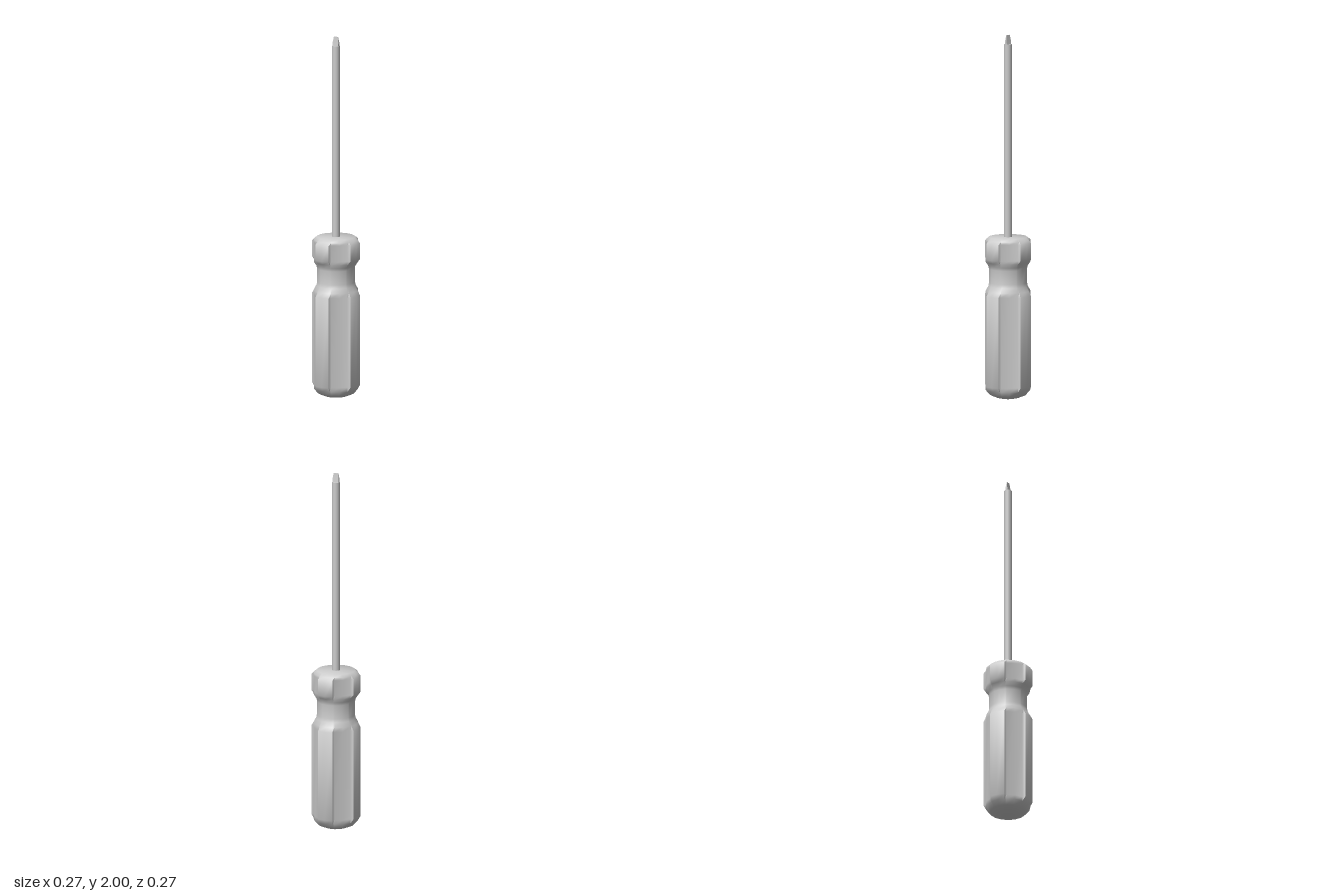
import * as THREE from 'three';
import { toCreasedNormals } from 'three/addons/utils/BufferGeometryUtils.js';

// Skin closed rings of [x, y, z] (bottom to top, same point count) and cap both ends.
function loft(rings, crease) {
  const n = rings[0].length, pos = [], index = [];
  rings.forEach(ring => ring.forEach(p => pos.push(...p)));
  for (let r = 0; r < rings.length - 1; r++) {
    for (let i = 0; i < n; i++) {
      const a = r * n + i, b = r * n + (i + 1) % n;
      index.push(a, a + n, b, b, a + n, b + n);
    }
  }
  const last = rings.length - 1, c = rings.length * n;
  pos.push(0, rings[0][0][1], 0, 0, rings[last][0][1], 0);
  for (let i = 0; i < n; i++) {
    const j = (i + 1) % n;
    index.push(c, i, j, c + 1, last * n + j, last * n + i);
  }
  const g = new THREE.BufferGeometry();
  g.setAttribute('position', new THREE.Float32BufferAttribute(pos, 3));
  g.setIndex(index);
  return toCreasedNormals(g, crease);
}

export function createModel() {
  const group = new THREE.Group();
  const material = new THREE.MeshStandardMaterial({ color: 0xcccccc });
  const add = (name, geometry) => {
    const mesh = new THREE.Mesh(geometry, material);
    mesh.name = name;
    group.add(mesh);
  };

  // Handle: four raised ribs with broad grooves between, fading into a round neck
  const groove = 0.122;
  const section = [[0, false], [18.6, false], [22.8, true], [45, true], [67.2, true], [71.4, false]];
  const profile = [
    [0.03, 0], [0.06, 0.006], [0.1, 0.022], [groove, 0.048], [0.136, 0.072],
    [0.136, 0.57], [groove, 0.595], [0.108, 0.62], [0.104, 0.64], [0.104, 0.715],
    [0.108, 0.732], [groove, 0.753], [0.136, 0.772], [0.136, 0.862], [groove, 0.876], [0.105, 0.89],
  ];
  const handleRings = profile.map(([radius, y]) => {
    const ring = [];
    for (let q = 0; q < 4; q++) {
      for (const [deg, inGroove] of section) {
        const a = THREE.MathUtils.degToRad(deg + q * 90);
        const r = inGroove ? Math.min(radius, groove) : radius;
        ring.push([r * Math.cos(a), y, r * Math.sin(a)]);
      }
    }
    return ring;
  });
  add('handle', loft(handleRings, 0.95));

  // Shaft
  const shaft = new THREE.CylinderGeometry(0.021, 0.021, 1.08, 16);
  shaft.translate(0, 1.41, 0);
  add('shaft', shaft);

  // Flat blade tip, tapering in width and thickness: [half width, half depth, y]
  const tip = [[0.017, 0.008, 1.945], [0.019, 0.005, 1.968], [0.013, 0.002, 2]];
  add('bladeTip', loft(tip.map(([w, d, y]) => [[w, y, -d], [w, y, d], [-w, y, d], [-w, y, -d]]), 0.4));

  return group;
}
